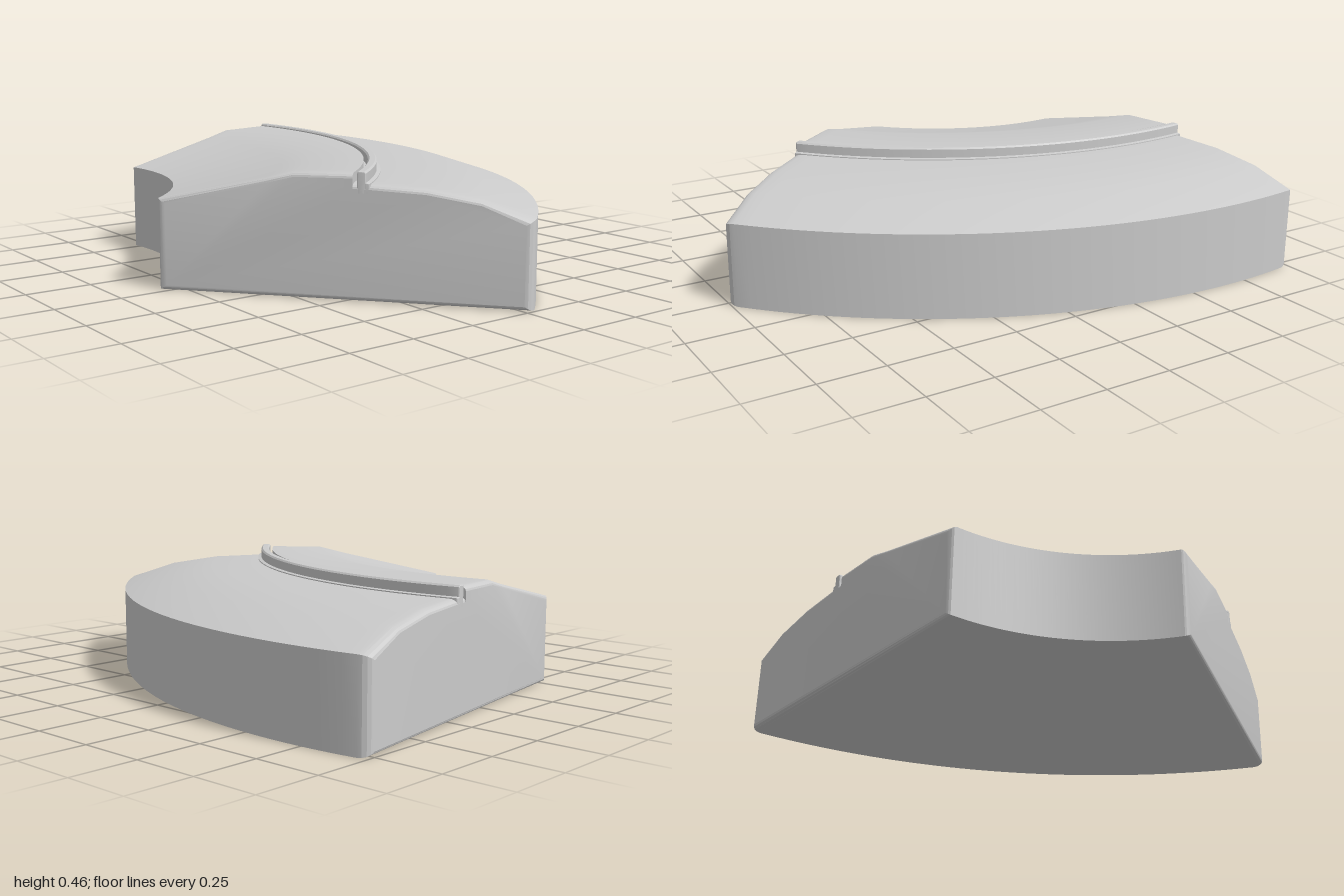
import * as THREE from 'three';
import { toCreasedNormals } from 'three/addons/utils/BufferGeometryUtils.js';

// Centre of the curve and its two end angles (measured from +x towards +z)
const CX = -1.346, CZ = -0.66;
const START = THREE.MathUtils.degToRad(-9.2);
const END = THREE.MathUtils.degToRad(50.8);
const SEGMENTS = 40;

// Sweeps a counter-clockwise (radius, height) section round the curve,
// shrinking it near both ends to give rounded end edges.
function sweep(section, bevel) {
  const radii = section.map(p => p[0]), heights = section.map(p => p[1]);
  const rMin = Math.min(...radii), rMax = Math.max(...radii);
  const yMin = Math.min(...heights);

  // Stations along the curve: angle, and how much the section shrinks there
  const stations = [];
  const steps = 4, bevelAngle = bevel / ((rMin + rMax) / 2);
  for (let i = 0; i < steps; i++) {
    const a = (i / steps) * Math.PI / 2;
    stations.push([START + bevelAngle * (1 - Math.cos(a)), bevel * (1 - Math.sin(a))]);
  }
  for (let i = 0; i <= SEGMENTS; i++) {
    const t = i / SEGMENTS;
    stations.push([START + bevelAngle + (END - START - 2 * bevelAngle) * t, 0]);
  }
  for (let i = steps - 1; i >= 0; i--) {
    stations.push([START + END - stations[i][0], stations[i][1]]);
  }

  const positions = [], index = [], n = section.length;
  for (const [angle, inset] of stations) {
    for (const [r, y] of section) {
      const rr = THREE.MathUtils.clamp(r, rMin + inset, rMax - inset);
      const yy = y === yMin ? y + inset * 0.6 : y - inset * 0.6;
      positions.push(CX + rr * Math.cos(angle), yy, CZ + rr * Math.sin(angle));
    }
  }
  for (let i = 0; i < stations.length - 1; i++) {
    for (let j = 0; j < n; j++) {
      const a = i * n + j, b = i * n + (j + 1) % n;
      index.push(a, b, b + n, a, b + n, a + n);
    }
  }
  // Flat end faces
  const contour = section.map(p => new THREE.Vector2(...p));
  const last = (stations.length - 1) * n;
  for (const [a, b, c] of THREE.ShapeUtils.triangulateShape(contour, [])) {
    index.push(a, c, b, last + a, last + b, last + c);
  }

  const geometry = new THREE.BufferGeometry();
  geometry.setAttribute('position', new THREE.Float32BufferAttribute(positions, 3));
  geometry.setIndex(index);
  return toCreasedNormals(geometry, THREE.MathUtils.degToRad(16));
}

export function createModel() {
  const group = new THREE.Group();
  group.name = 'curvedSegment';
  const material = new THREE.MeshStandardMaterial({ color: 0xcccccc });

  const addPart = (name, section, bevel) => {
    const mesh = new THREE.Mesh(sweep(section, bevel), material);
    mesh.name = name;
    group.add(mesh);
  };

  // Main block: steep inner slope, near-flat crown, lower domed outer shoulder
  addPart('curvedBlock', [
    [0.811, 0], [2.156, 0], [2.156, 0.315],
    [1.976, 0.375], [1.786, 0.405], [1.6, 0.414], [1.53, 0.416],
    [1.53, 0.452], [1.32, 0.45], [1.22, 0.425], [0.811, 0.335],
  ], 0.03);

  // Raised rail standing in the step, with softened top edges
  addPart('rail', [
    [1.545, 0.38], [1.578, 0.38], [1.578, 0.453],
    [1.572, 0.459], [1.551, 0.459], [1.545, 0.453],
  ], 0.006);

  // Thin foot along the outer side of the rail
  addPart('railFoot', [
    [1.57, 0.38], [1.592, 0.38], [1.592, 0.418], [1.57, 0.422],
  ], 0.006);

  return group;
}
